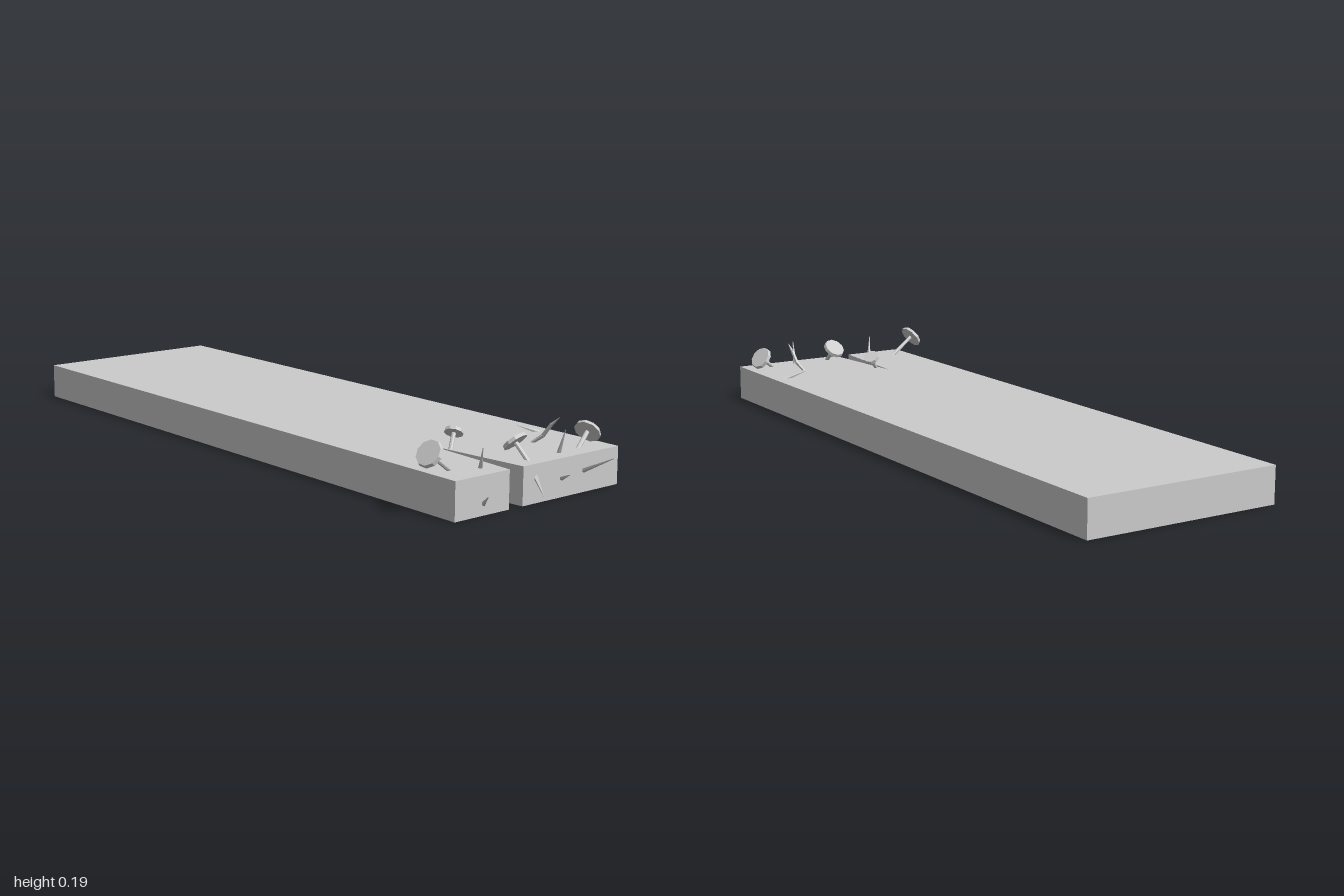
import * as THREE from 'three';

const material = new THREE.MeshStandardMaterial({ color: 0xcccccc, flatShading: true });
const UP = new THREE.Vector3(0, 1, 0);

function addMesh(parent, geometry, name) {
  const mesh = new THREE.Mesh(geometry, material);
  mesh.name = name;
  parent.add(mesh);
  return mesh;
}

// Tapered rod running from point a to point b
function addRod(parent, a, b, ra, rb, sides, name) {
  const dir = b.clone().sub(a);
  const rod = addMesh(parent, new THREE.CylinderGeometry(rb, ra, dir.length(), sides), name);
  rod.position.copy(a).addScaledVector(dir, 0.5);
  rod.quaternion.setFromUnitVectors(UP, dir.normalize());
  return rod;
}

// Nail driven in at foot, with a flat round head centred at top
function addNail(parent, foot, top, headRadius) {
  const nail = new THREE.Group();
  nail.name = 'nail';
  const a = new THREE.Vector3(...foot), b = new THREE.Vector3(...top);
  const dir = b.clone().sub(a).normalize();
  a.addScaledVector(dir, -0.01);
  addRod(nail, a, b, 0.006, 0.006, 8, 'nailShaft');
  addRod(nail, b.clone().addScaledVector(dir, -0.005), b.clone().addScaledVector(dir, 0.005),
    headRadius, headRadius * 0.93, 10, 'nailHead');
  parent.add(nail);
}

// Wood splinter: thick at the root, pointed at the tip
function addSplinter(parent, root, tip) {
  const a = new THREE.Vector3(...root), b = new THREE.Vector3(...tip);
  const inner = a.clone().lerp(b, -0.1);
  addRod(parent, inner, b, 0.0065, 0.0008, 5, 'splinter');
}

export function createModel() {
  const model = new THREE.Group();
  model.name = 'splitPlank';

  // Plank with a wedge-shaped crack in its front end
  const outline = [[-0.27, 1], [-0.27, -0.895], [-0.086, -0.895], [-0.069, -0.595],
    [-0.038, -0.895], [0.312, -0.895], [0.312, 1]];
  const shape = new THREE.Shape(outline.map(([x, y]) => new THREE.Vector2(x, y)));
  const plank = new THREE.ExtrudeGeometry(shape, { depth: 0.103, bevelEnabled: false });
  plank.rotateX(-Math.PI / 2);
  addMesh(model, plank, 'plank');

  // Crooked nails: foot, head centre, head radius
  [
    [[-0.207, 0.103, 0.807], [-0.285, 0.159, 0.817], 0.038],
    [[0.018, 0.103, 0.853], [0.01, 0.146, 0.815], 0.035],
    [[-0.066, 0.08, 0.655], [-0.024, 0.142, 0.628], 0.026],
    [[0.222, 0.103, 0.84], [0.27, 0.138, 0.826], 0.037],
  ].forEach(([foot, top, r]) => addNail(model, foot, top, r));

  // Straight splinters on the top face and the front end
  [
    [[-0.133, 0.103, 0.84], [-0.152, 0.162, 0.867]],
    [[0.137, 0.103, 0.85], [0.129, 0.17, 0.878]],
    [[0.27, 0.101, 0.645], [0.212, 0.124, 0.624]],
    [[-0.174, 0.031, 0.895], [-0.192, 0.058, 0.93]],
    [[0.007, 0.067, 0.895], [-0.012, 0.032, 0.942]],
    [[0.1, 0.05, 0.895], [0.064, 0.077, 0.957]],
    [[0.182, 0.058, 0.895], [0.177, 0.11, 1]],
  ].forEach(([root, tip]) => addSplinter(model, root, tip));

  // Bent splinter
  const bend = [[0.165, 0.098, 0.72], [0.177, 0.125, 0.755], [0.18, 0.158, 0.78], [0.182, 0.18, 0.805]]
    .map((p) => new THREE.Vector3(...p));
  const radii = [0.004, 0.006, 0.005, 0.0008];
  const bent = new THREE.Group();
  bent.name = 'bentSplinter';
  for (let i = 0; i < 3; i++) {
    addRod(bent, bend[i], bend[i + 1], radii[i], radii[i + 1], 5, 'bentSplinterSection');
  }
  model.add(bent);

  return model;
}
